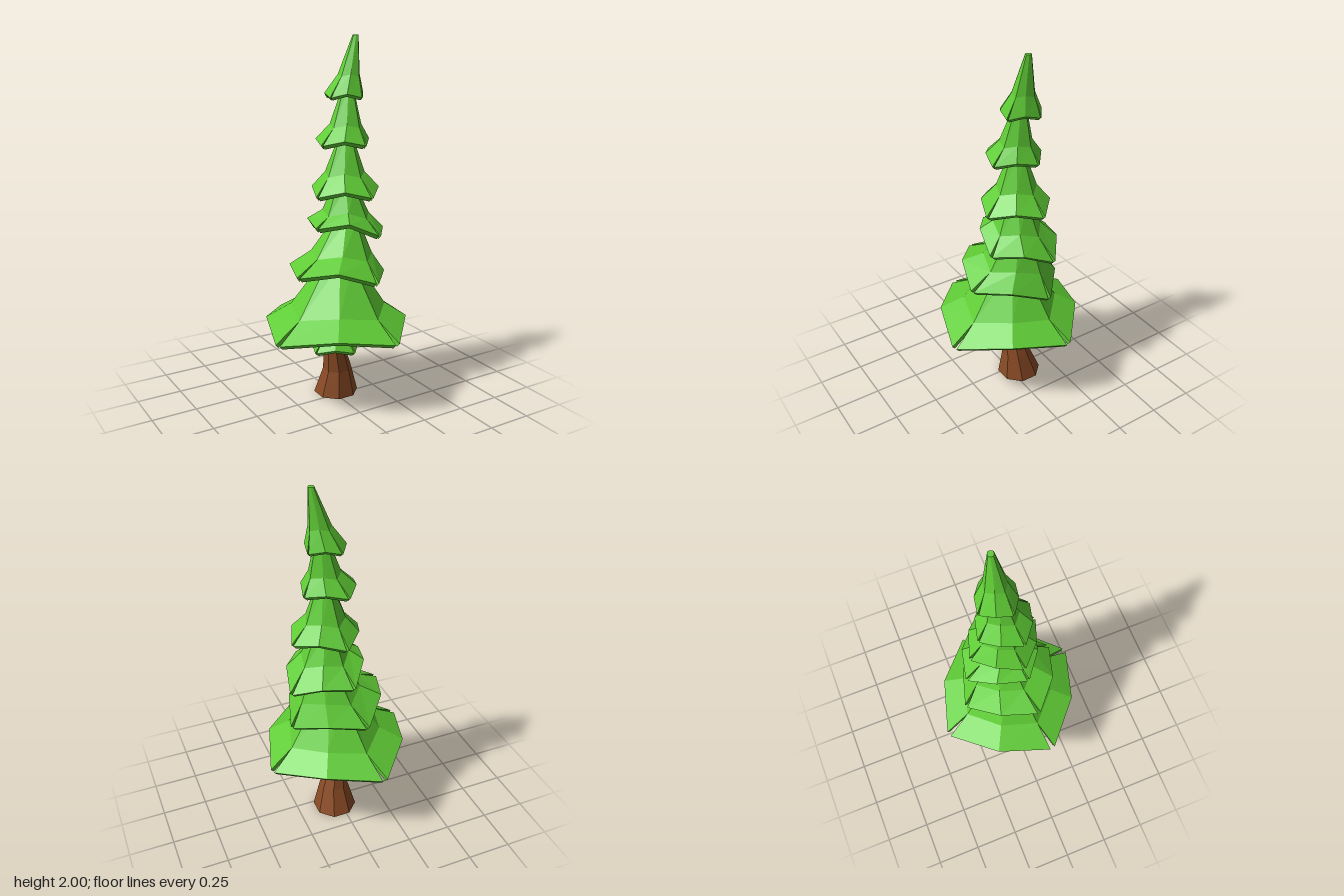
import * as THREE from 'three';

const green = new THREE.MeshStandardMaterial({ color: 0x5fcc35, flatShading: true });
const brown = new THREE.MeshStandardMaterial({ color: 0x8a4b25, flatShading: true });

// Flat-shaded mesh from a list of corner-ordered quads
function quadMesh(name, quads, material) {
  const pos = [];
  for (const [a, b, c, d] of quads) for (const p of [a, b, c, a, c, d]) pos.push(p.x, p.y, p.z);
  const geo = new THREE.BufferGeometry();
  geo.setAttribute('position', new THREE.Float32BufferAttribute(pos, 3));
  geo.computeVertexNormals();
  const mesh = new THREE.Mesh(geo, material);
  mesh.name = name;
  return mesh;
}

// One skirt of foliage: four drooping boughs, each three columns wide, with a slit between
// neighbours. Rings are [x, y, z, radius]; tilt is the slope of the rim along x and z.
function foliageTier(name, { rim, mid, top, tilt = [0, 0], turn = 0.27, lift = 0.045 }) {
  const t = Math.min(0.02, rim[3] * 0.12);
  const inner = (r, dr, dy) => [r[0], r[1] - dy, r[2], r[3] - dr];
  // outer surface downwards, round the rim, then back up inside
  const rings = [top, mid, rim, inner(rim, t * 0.9, t), inner(mid, t, t), inner(top, t * 0.4, 0.002)];
  const tiltBy = [0, 0.6, 1, 1, 0.6, 0];
  const slit = [0, 0, 0.035, 0.035, 0, 0];

  const point = (row, bough, col) => {
    const [x, y, z, r] = rings[row];
    const middle = col === 1;
    const angle = -turn + (bough + col / 2) * Math.PI / 2 + (1 - col) * slit[row];
    const rad = r * (middle ? 0.88 : 1);
    const dx = rad * Math.cos(angle), dz = rad * Math.sin(angle);
    const up = middle ? lift * tiltBy[row] : 0;
    return new THREE.Vector3(x + dx, y + up + tiltBy[row] * (dx * tilt[0] + dz * tilt[1]), z + dz);
  };

  const quads = [];
  for (let b = 0; b < 4; b++) {
    for (let c = 0; c < 2; c++) {
      for (let r = 0; r < 5; r++) {
        quads.push([point(r, b, c), point(r, b, c + 1), point(r + 1, b, c + 1), point(r + 1, b, c)]);
      }
      // closed tip
      const tip = new THREE.Vector3(top[0], top[1], top[2]);
      quads.push([tip, point(0, b, c + 1), point(0, b, c), tip]);
    }
    // slit walls
    quads.push([1, 2, 3, 4].map(r => point(r, b, 0)));
    quads.push([4, 3, 2, 1].map(r => point(r, b, 2)));
  }
  return quadMesh(name, quads, green);
}

// Bent, flared octagonal trunk
function trunk() {
  const rings = [
    [0.03, 0, -0.055, 0.125], [0.027, 0.15, -0.035, 0.082],
    [0.002, 0.28, -0.02, 0.06], [0.01, 0.5, -0.01, 0.05], [0.04, 0.9, -0.01, 0.035],
  ];
  const sides = 8;
  const point = (r, i) => {
    const a = (i + 0.5) / sides * Math.PI * 2;
    const [x, y, z, rad] = rings[r];
    return new THREE.Vector3(x + rad * Math.cos(a), y, z + rad * Math.sin(a));
  };
  const base = new THREE.Vector3(...rings[0]);
  const quads = [];
  for (let i = 0; i < sides; i++) {
    for (let r = 0; r < rings.length - 1; r++) {
      quads.push([point(r + 1, i), point(r + 1, i + 1), point(r, i + 1), point(r, i)]);
    }
    quads.push([base, point(0, i), point(0, i + 1), base]);
  }
  return quadMesh('trunk', quads, brown);
}

export function createModel() {
  const model = new THREE.Group();
  model.name = 'tree';
  model.add(trunk());

  // foliage from the ground up
  const tiers = [
    { rim: [0, 0.295, -0.015, 0.152], mid: [0, 0.36, -0.01, 0.102], top: [0.005, 0.54, -0.01, 0.06], lift: 0.025 },
    { rim: [0, 0.435, 0, 0.442], mid: [0.01, 0.53, 0, 0.295], top: [0.025, 0.8, -0.005, 0.1] },
    { rim: [0.005, 0.72, 0, 0.295], mid: [0.04, 0.82, -0.01, 0.19], top: [0.07, 1.02, -0.015, 0.08], tilt: [-0.14, 0.09] },
    { rim: [0.07, 0.96, -0.02, 0.237], mid: [0.065, 1.045, -0.01, 0.145], top: [0.06, 1.21, -0.01, 0.07], tilt: [-0.2, 0.1], turn: 0.34 },
    { rim: [0.06, 1.175, -0.005, 0.205], mid: [0.06, 1.27, -0.01, 0.12], top: [0.065, 1.46, -0.01, 0.05], turn: 0.22, lift: 0.035 },
    { rim: [0.04, 1.445, -0.005, 0.162], mid: [0.06, 1.53, -0.005, 0.095], top: [0.08, 1.73, -0.015, 0.035], turn: 0.32, lift: 0.025 },
    { rim: [0.065, 1.685, -0.03, 0.118], mid: [0.092, 1.79, -0.025, 0.066], top: [0.133, 2, -0.025, 0.018], turn: 0.4, lift: 0.02 },
  ];
  tiers.forEach((tier, i) => model.add(foliageTier(`foliageTier${i + 1}`, tier)));
  return model;
}
